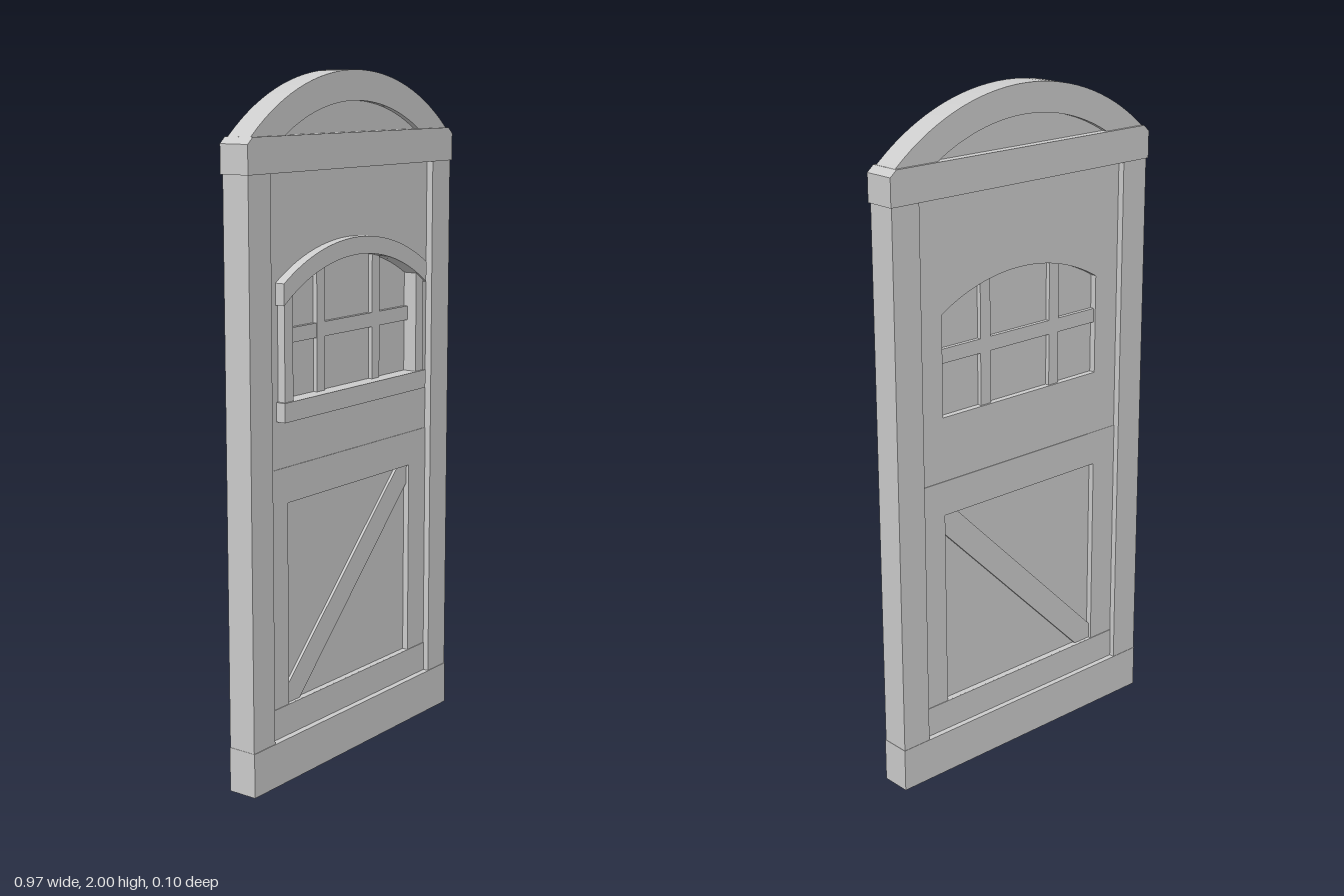
import * as THREE from 'three';
import { toCreasedNormals } from 'three/addons/utils/BufferGeometryUtils.js';

const material = new THREE.MeshStandardMaterial({ color: 0xcccccc });
const CX = -0.003; // shared centre line of the door

// Points on an arc about (0, cy), running from x = x0 to x = x1
function arc(r, cy, x0, x1, n = 32) {
  const a0 = Math.acos(x0 / r), a1 = Math.acos(x1 / r);
  return Array.from({ length: n + 1 }, (_, i) => {
    const a = a0 + ((a1 - a0) * i) / n;
    return new THREE.Vector2(r * Math.cos(a), cy + r * Math.sin(a));
  });
}

const pts = (...list) => list.map(([x, y]) => new THREE.Vector2(x, y));
const rect = (x0, x1, y0, y1) => pts([x0, y0], [x1, y0], [x1, y1], [x0, y1]);

export function createModel() {
  const model = new THREE.Group();
  model.name = 'archedDoor';

  // Outline extruded from z0 to z1, with optional holes
  function slab(name, outline, z0, z1, holes = []) {
    const shape = new THREE.Shape(outline);
    holes.forEach((h) => shape.holes.push(new THREE.Path(h)));
    const geo = new THREE.ExtrudeGeometry(shape, { depth: z1 - z0, bevelEnabled: false });
    const mesh = new THREE.Mesh(toCreasedNormals(geo, 0.5), material);
    mesh.name = name;
    mesh.position.set(CX, 0, z0);
    model.add(mesh);
  }
  const board = (name, x0, x1, y0, y1, z0, z1) => slab(name, rect(x0, x1, y0, y1), z0, z1);

  // Outer frame
  board('bottomBoard', -0.479, 0.479, 0, 0.13, -0.047, 0.043);
  board('leftPost', 0.385, 0.478, 0.13, 1.73, -0.046, 0.041);
  board('rightPost', -0.478, -0.385, 0.13, 1.73, -0.046, 0.041);
  slab('lintel', pts([-0.483, 1.73], [0.483, 1.73], [0.483, 1.81], [0.462, 1.828],
    [-0.462, 1.828], [-0.483, 1.81]), -0.05, 0.045);

  // Arched head with a sunken panel
  const headY = 1.299, headR = 0.701, sunkR = 0.616;
  slab('archedHead', [...pts([-0.48, 1.8], [0.48, 1.8]), ...arc(headR, headY, 0.48, -0.48)],
    -0.042, 0.036, [arc(sunkR, headY, 0.32, -0.32)]);
  slab('archedHeadPanel', arc(sunkR + 0.01, headY, 0.335, -0.335), -0.025, 0.019);

  // Window opening outline, used by the upper leaf and the glass
  const winY = 0.907, winR = 0.578;
  const opening = [...pts([-0.297, 1.105], [0.297, 1.105]), ...arc(winR, winY, 0.297, -0.297)];

  // Door leaves
  slab('upperLeaf', rect(-0.385, 0.385, 0.915, 1.73), -0.026, 0.02, [opening]);
  slab('lowerLeaf', rect(-0.385, 0.385, 0.22, 0.915), -0.028, 0.022,
    [rect(-0.297, 0.297, 0.2201, 0.812)]);
  board('bottomRail', -0.385, 0.385, 0.13, 0.22, -0.03, 0.024);

  // Lower panel with its diagonal brace
  board('lowerPanel', -0.3, 0.3, 0.21, 0.815, -0.01, 0.004);
  slab('diagonalBrace', pts([-0.297, 0.22], [-0.237, 0.22], [0.297, 0.755], [0.297, 0.812],
    [0.247, 0.812], [-0.297, 0.268]), -0.019, 0.013);

  // Window glass and glazing bars
  slab('glass', opening, -0.007, 0.001);
  for (const [side, s] of [['left', 1], ['right', -1]]) {
    const x0 = s > 0 ? 0.114 : -0.151, x1 = x0 + 0.037;
    slab(side + 'GlazingBar', [...pts([x0, 1.105], [x1, 1.105]), ...arc(winR, winY, x1, x0, 4)],
      -0.02, 0.014);
  }
  board('crossBar', -0.297, 0.297, 1.26, 1.302, -0.019, 0.013);

  // Window trim on the front
  board('windowSill', -0.342, 0.342, 1.05, 1.105, 0.018, 0.05);
  board('leftWindowTrim', 0.297, 0.334, 1.105, 1.41, 0.018, 0.044);
  board('rightWindowTrim', -0.334, -0.297, 1.105, 1.41, 0.018, 0.044);
  slab('windowArchTrim', [...arc(winR, winY, -0.342, 0.342), ...arc(winR + 0.05, winY, 0.342, -0.342)],
    0.018, 0.05);

  return model;
}
